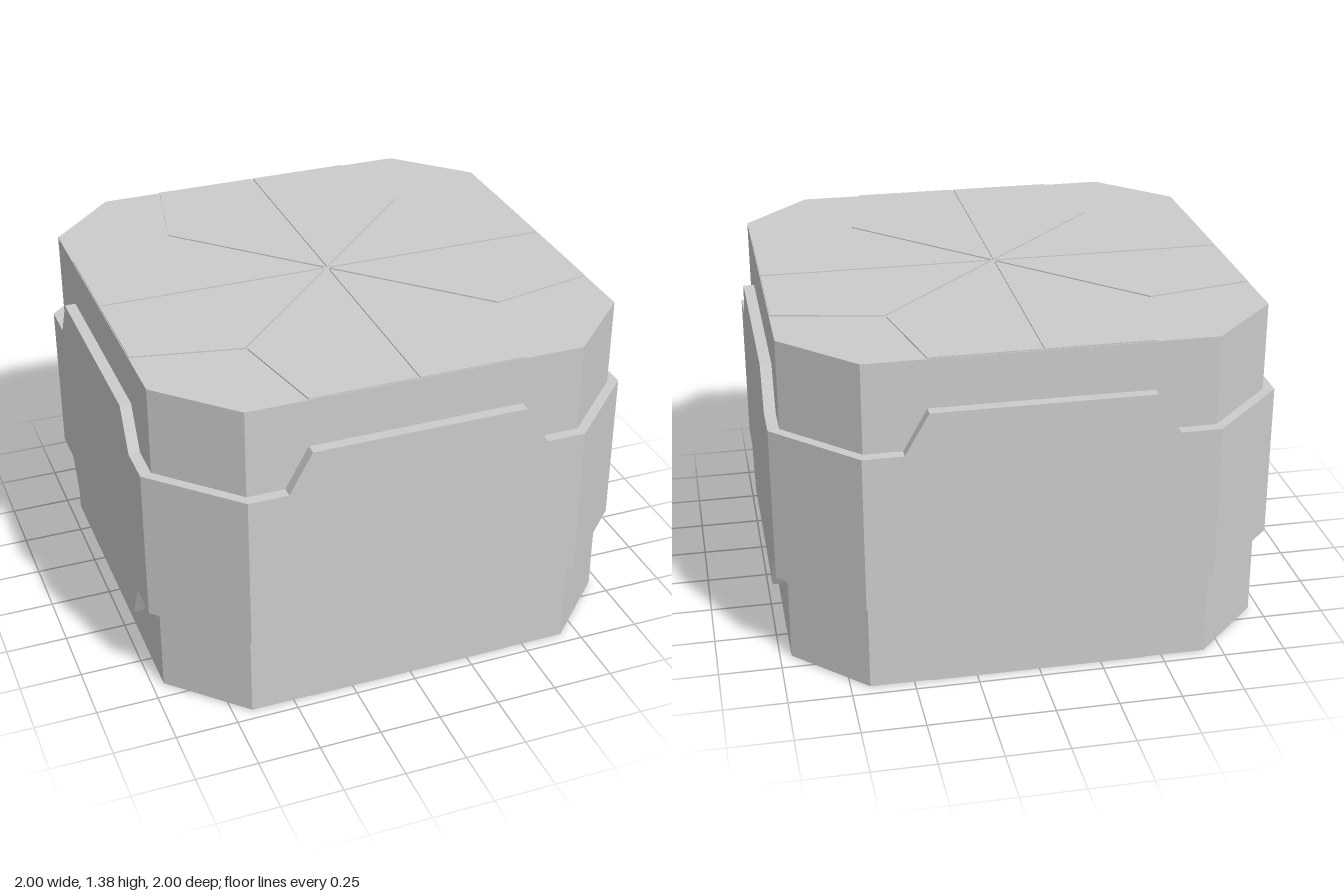
import * as THREE from 'three';

const material = new THREE.MeshStandardMaterial({ color: 0xcccccc, flatShading: true });

const HEIGHT = 1.375, STEP = 0.005;
const CORE = 0.955, CORE_CORNER = 0.675;
const BAND = 1, BAND_CORNER = 0.685;

// Upright prism from a plan outline
function prism(name, points, y, height) {
  const shape = new THREE.Shape(points.map(([x, z]) => new THREE.Vector2(x, -z)));
  const geometry = new THREE.ExtrudeGeometry(shape, { depth: height, bevelEnabled: false });
  geometry.rotateX(-Math.PI / 2).translate(0, y, 0);
  const mesh = new THREE.Mesh(geometry, material);
  mesh.name = name;
  return mesh;
}

// Quarter turn about the vertical axis, k times
function turn([x, z], k) {
  for (let i = 0; i < k; i++) [x, z] = [z, -x];
  return [x, z];
}

// Armour band: an eight-sided ring whose rims step out on each of the four sides
function createBand() {
  const profile = [
    [-BAND_CORNER, 0.375, 1.01], [-0.525, 0.375, 1.01], [-0.432, 0.2, 1.175],
    [0.432, 0.2, 1.175], [0.525, 0.375, 1.01], [BAND_CORNER, 0.375, 1.01],
  ];
  const ring = [];
  for (let k = 0; k < 4; k++) {
    for (const [t, low, high] of profile) {
      const inset = Math.sign(t) * Math.min(Math.abs(t), CORE_CORNER);
      ring.push({ outer: turn([t, BAND], k), inner: turn([inset, CORE], k), low, high });
    }
  }
  const positions = [];
  const quad = (a, b, c, d) => positions.push(...a, ...b, ...c, ...a, ...c, ...d);
  const at = ([x, z], y) => [x, y, z];
  ring.forEach((a, i) => {
    const b = ring[(i + 1) % ring.length];
    // outer wall, upper rim, lower rim
    quad(at(a.outer, a.low), at(b.outer, b.low), at(b.outer, b.high), at(a.outer, a.high));
    quad(at(a.outer, a.high), at(b.outer, b.high), at(b.inner, b.high), at(a.inner, a.high));
    quad(at(a.inner, a.low), at(b.inner, b.low), at(b.outer, b.low), at(a.outer, a.low));
  });
  const geometry = new THREE.BufferGeometry();
  geometry.setAttribute('position', new THREE.Float32BufferAttribute(positions, 3));
  geometry.computeVertexNormals();
  const mesh = new THREE.Mesh(geometry, material);
  mesh.name = 'armourBand';
  return mesh;
}

export function createModel() {
  const model = new THREE.Group();
  model.name = 'crate';

  // Eight-sided body
  const octagon = [];
  for (let k = 0; k < 4; k++) {
    octagon.push(turn([-CORE_CORNER, CORE], k), turn([CORE_CORNER, CORE], k));
  }
  model.add(prism('body', octagon, STEP, HEIGHT - 2 * STEP));
  model.add(createBand());

  // Thin raised wedges on the lid and the base, parted by narrow grooves
  const wedge = [[0.012, 0.005], [0.952, 0.005], [0.952, 0.43], [0.525, 0.518]];
  for (const [name, y] of [['lidPanels', HEIGHT - STEP], ['basePanels', 0]]) {
    const panels = new THREE.Group();
    panels.name = name;
    for (let k = 0; k < 4; k++) {
      for (const side of [1, -1]) {
        const outline = wedge.map(([x, z]) => turn([x, side * z], k));
        panels.add(prism('wedgePanel', outline, y, STEP));
      }
    }
    model.add(panels);
  }
  return model;
}
